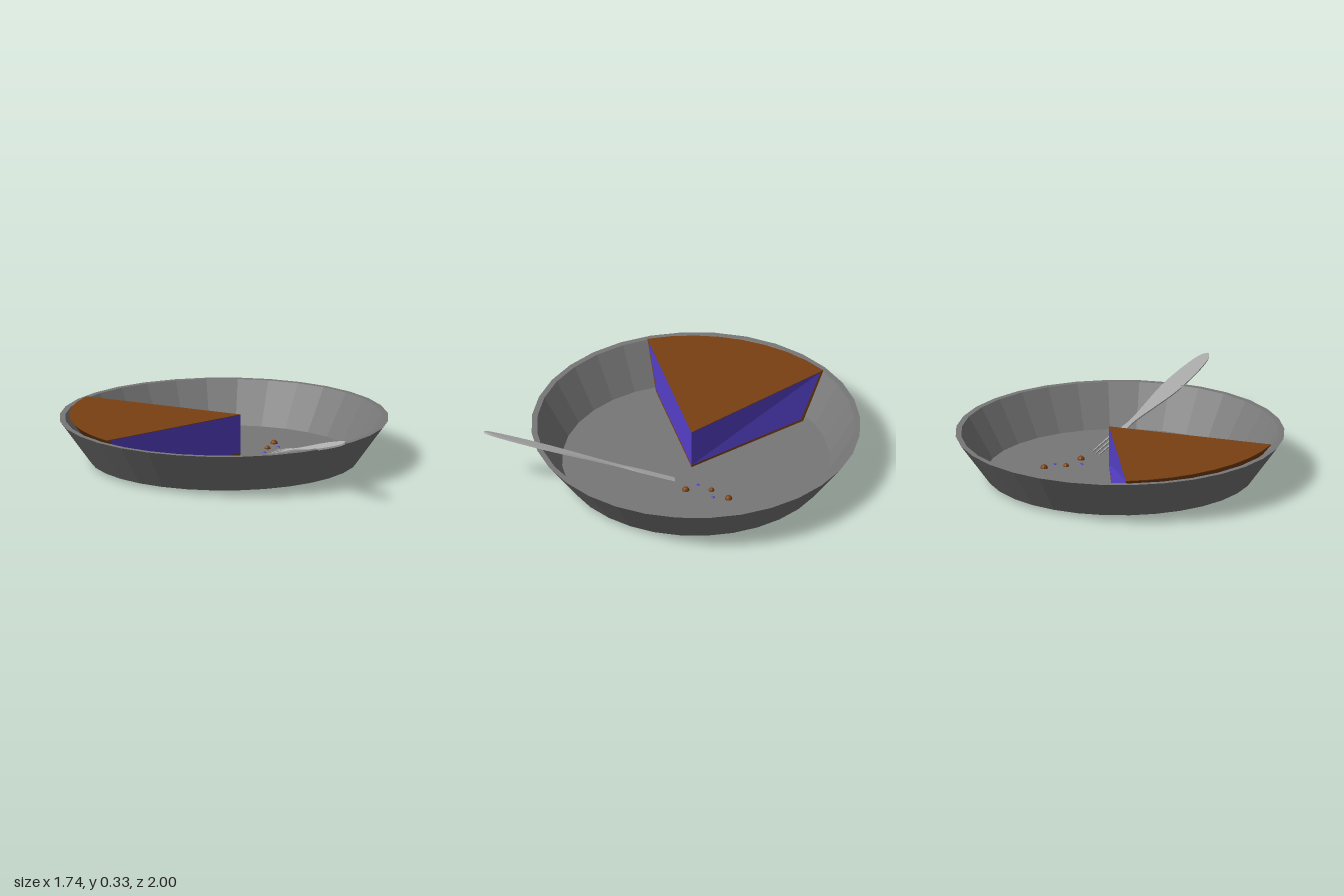
import * as THREE from 'three';

const V2 = (p) => new THREE.Vector2(p[0], p[1]);
const paint = (color) => new THREE.MeshStandardMaterial({ color, flatShading: true, side: THREE.DoubleSide });
const TIN = 0x777777, STEEL = 0xb0b0b0, PASTRY = 0x7a4012, BERRY = 0x5540c8;

function part(name, geometry, color) {
  const mesh = new THREE.Mesh(geometry, paint(color));
  mesh.name = name;
  return mesh;
}

// Sweeps a (radius, height) profile around the slice's tip; the slice fans a little wider toward its base
function wedge(profile) {
  const geo = new THREE.ExtrudeGeometry(new THREE.Shape(profile.map(V2)), { depth: 1, steps: 8, bevelEnabled: false });
  const pos = geo.attributes.position;
  for (let i = 0; i < pos.count; i++) {
    const r = pos.getX(i), y = pos.getY(i), t = 1 - pos.getZ(i);
    const start = 110.3 + 3.6 * (y - 0.03) / 0.22;
    const a = THREE.MathUtils.degToRad(THREE.MathUtils.lerp(start, 179, t));
    pos.setXYZ(i, 0.075 + r * Math.cos(a), y, -0.085 - r * Math.sin(a));
  }
  geo.computeVertexNormals();
  return geo;
}

// Fork outline: tines at the origin, handle running up +y
function forkGeometry() {
  const half = new THREE.SplineCurve([
    [0.024, 0.17], [0.021, 0.22], [0.013, 0.28], [0.013, 0.36], [0.027, 0.5],
    [0.043, 0.66], [0.044, 0.8], [0.037, 0.92], [0.024, 1.01], [0.004, 1.045],
  ].map(V2)).getPoints(27);
  const outline = [...half, ...half.map((p) => new THREE.Vector2(-p.x, p.y)).reverse()];
  // three tapering tines, left to right
  for (const x of [-0.02, 0, 0.02]) {
    outline.push(V2([x - 0.0039, 0.169]), V2([x - 0.002, 0]), V2([x + 0.002, 0]), V2([x + 0.0039, 0.169]));
  }
  const geo = new THREE.ExtrudeGeometry(new THREE.Shape(outline), { depth: 0.01, bevelEnabled: false });
  geo.translate(0, 0, -0.005);

  // lean it from the dish floor over the front rim, rolled slightly sideways
  const tip = new THREE.Vector3(0.19, 0.05, 0.04);
  const along = new THREE.Vector3(-0.12, 0.33, 1.0).sub(tip).normalize();
  const across = along.clone().cross(new THREE.Vector3(-0.23, 0.91, -0.34)).normalize();
  const normal = across.clone().cross(along);
  geo.applyMatrix4(new THREE.Matrix4().makeBasis(across, along, normal).setPosition(tip));
  return geo;
}

export function createModel() {
  const model = new THREE.Group();
  model.name = 'pieDishWithSlice';

  // Dish: sloping 32-sided wall, narrow flat rim, thin floor
  const dish = part('dish', new THREE.LatheGeometry([
    [0, 0.018], [0.71, 0.018], [0.87, 0.24], [0.84, 0.24], [0.708, 0.021], [0, 0.021],
  ].map(V2), 32), TIN);
  dish.position.z = -0.13;
  model.add(dish);

  // Slice: filling, crust below and outside, thin top crust
  const slice = new THREE.Group();
  slice.name = 'pieSlice';
  slice.add(
    part('filling', wedge([[0, 0.042], [0.717, 0.042], [0.888, 0.249], [0, 0.249]]), BERRY),
    part('bottomCrust', wedge([[0, 0.03], [0.73, 0.03], [0.905, 0.249], [0.888, 0.249], [0.717, 0.042], [0, 0.042]]), PASTRY),
    part('topCrust', wedge([[0, 0.249], [0.905, 0.249], [0.905, 0.252], [0, 0.252]]), PASTRY),
  );
  model.add(slice);

  model.add(part('fork', forkGeometry(), STEEL));

  // Crumbs and drops of filling: x, z, radius, colour
  const crumbs = new THREE.Group();
  crumbs.name = 'crumbs';
  for (const [x, z, r, color] of [
    [0.26, 0, 0.02, PASTRY], [0.3, -0.13, 0.016, PASTRY], [0.4, -0.195, 0.02, PASTRY],
    [0.232, -0.075, 0.012, BERRY], [0.366, -0.12, 0.012, BERRY],
  ]) {
    const crumb = part(color === BERRY ? 'fillingDrop' : 'crumb', new THREE.SphereGeometry(r, 10, 8), color);
    crumb.position.set(x, color === BERRY ? 0.015 : 0.021, z);
    crumbs.add(crumb);
  }
  model.add(crumbs);

  return model;
}
